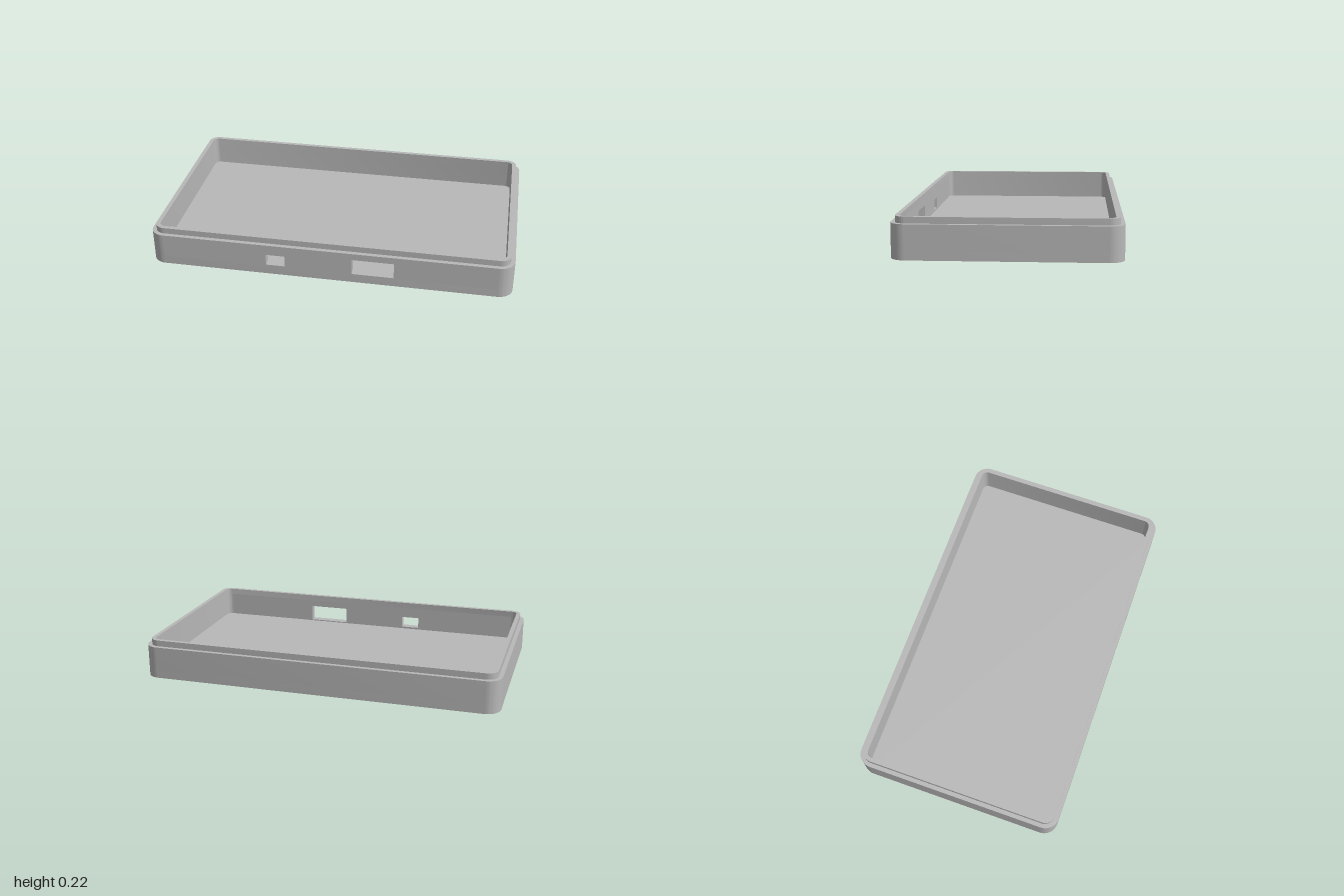
import * as THREE from 'three';
import { toCreasedNormals } from 'three/addons/utils/BufferGeometryUtils.js';

const HALF_X = 1, HALF_Z = 0.583, RADIUS = 0.08;
const FLOOR = 0.046, RIM = 0.181, TOP = 0.215;
const STEP = 0.023, WALL = 0.046;
const CX = HALF_X - RADIUS, CZ = HALF_Z - RADIUS; // shared corner centres

// Corner centres and start angles, anticlockwise from the front left corner
const corners = [[CX, -CZ], [CX, CZ], [-CX, CZ], [-CX, -CZ]];

// Follow all four rounded corners at a given inset
function traceCorners(path, inset, reverse = false) {
  const r = RADIUS - inset;
  for (let k = 0; k < 4; k++) {
    const i = reverse ? 3 - k : k;
    const a = (i - 1) * Math.PI / 2, b = i * Math.PI / 2;
    path.absarc(...corners[i], r, reverse ? b : a, reverse ? a : b, reverse);
  }
  path.closePath();
  return path;
}

// Extrude a plan shape upwards from y0 to y1
function extrudeUp(shape, y0, y1) {
  const g = new THREE.ExtrudeGeometry(shape, { depth: y1 - y0, bevelEnabled: false, curveSegments: 12 });
  g.rotateX(-Math.PI / 2).translate(0, y0, 0);
  return toCreasedNormals(g, 0.5);
}

function rectangle(path, x0, y0, x1, y1) {
  path.moveTo(x0, y0).lineTo(x1, y0).lineTo(x1, y1).lineTo(x0, y1).closePath();
  return path;
}

export function createModel() {
  const group = new THREE.Group();
  group.name = 'enclosureTray';
  const plastic = new THREE.MeshStandardMaterial({ color: 0xb8b8b8 });
  plastic.name = 'greyPlastic';
  const add = (name, geometry) => {
    const mesh = new THREE.Mesh(geometry, plastic);
    mesh.name = name;
    group.add(mesh);
  };

  // Solid bottom plate
  add('floor', extrudeUp(traceCorners(new THREE.Shape(), 0), 0, FLOOR));

  // Back, sides and rounded corners, open along the straight front run
  const surround = new THREE.Shape();
  traceCorners(surround, 0);
  surround.curves.pop();
  traceCorners(surround, WALL, true);
  add('sideAndBackWalls', extrudeUp(surround, FLOOR, RIM));

  // Front wall with two port openings
  const front = rectangle(new THREE.Shape(), -CX, FLOOR, CX, RIM);
  front.holes.push(
    rectangle(new THREE.Path(), -0.34, 0.057, -0.235, 0.121),
    rectangle(new THREE.Path(), 0.135, 0.052, 0.365, 0.143),
  );
  const frontGeometry = new THREE.ExtrudeGeometry(front, { depth: WALL, bevelEnabled: false });
  frontGeometry.translate(0, 0, HALF_Z - WALL);
  add('frontWall', frontGeometry);

  // Stepped lip that a lid would fit over
  const lip = traceCorners(new THREE.Shape(), STEP);
  lip.holes.push(traceCorners(new THREE.Path(), WALL));
  add('lip', extrudeUp(lip, RIM, TOP));

  return group;
}
